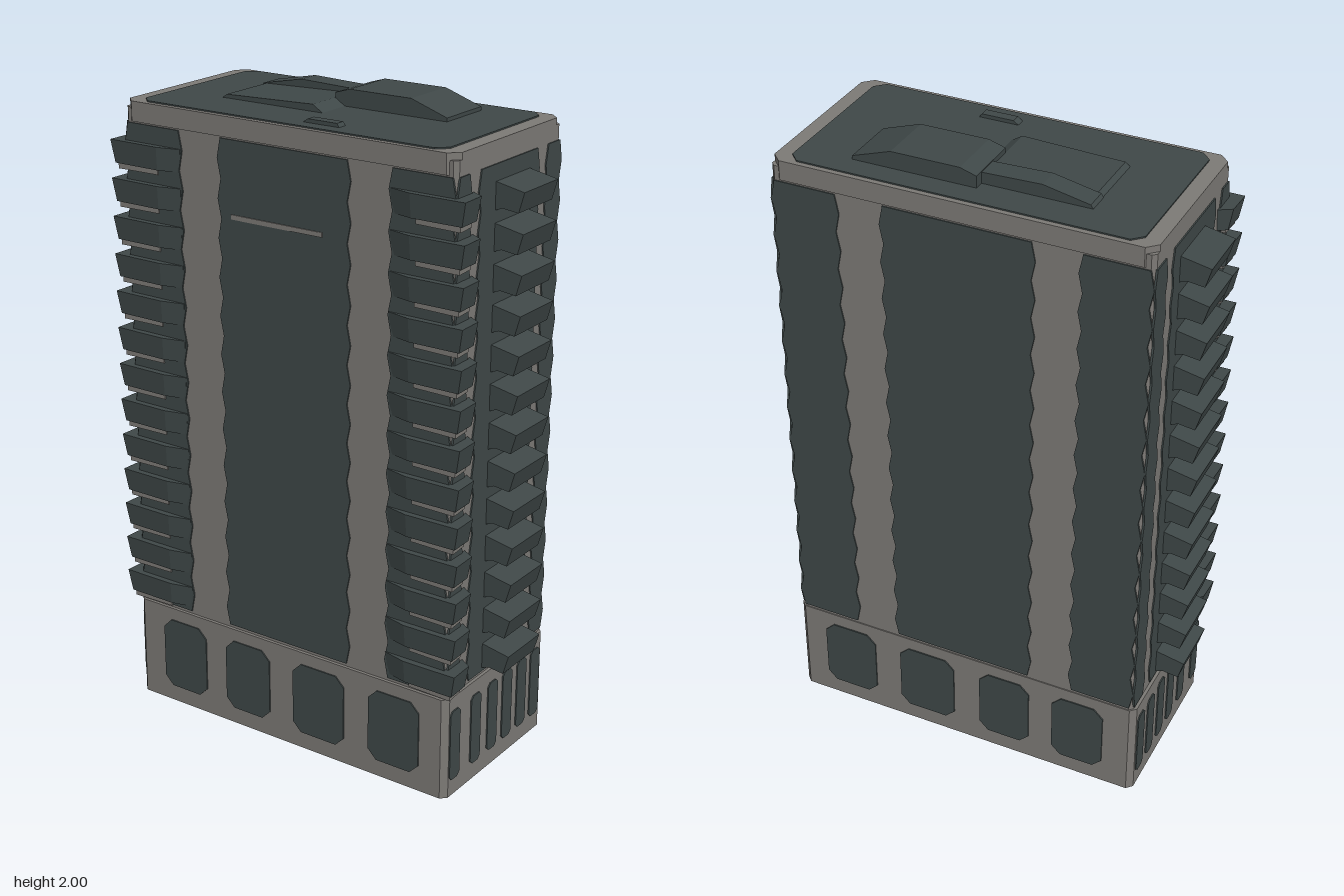
import * as THREE from 'three';

const concrete = new THREE.MeshStandardMaterial({ color: 0x7d7a76 });
concrete.name = 'concrete';
const glass = new THREE.MeshStandardMaterial({ color: 0x3f4848 });
glass.name = 'darkGlass';

const FLOORS = 13, FLOOR_BASE = 0.39, STEP = 0.1167;
const HALF_X = 0.573, FRONT = 0.262, BACK = 0.285;

const shapeOf = pts => new THREE.Shape(pts.map(p => new THREE.Vector2(p[0], p[1])));

function add(parent, name, geometry, material) {
  const mesh = new THREE.Mesh(geometry, material);
  mesh.name = name;
  parent.add(mesh);
  return mesh;
}

const extrude = (shape, depth) =>
  new THREE.ExtrudeGeometry(shape, { depth, bevelEnabled: false });

// Plan outline with cut corners; shape y is -z so it can be raised upright
function plan(hx, front, back, c) {
  return [[-hx + c, -front], [hx - c, -front], [hx, -front + c], [hx, back - c],
    [hx - c, back], [-hx + c, back], [-hx, back - c], [-hx, -front + c]];
}

// Raise a plan shape from y0 to y1
function raise(shape, y0, y1) {
  return extrude(shape, y1 - y0).rotateX(-Math.PI / 2).translate(0, y0, 0);
}

// Tall glazing with edges that step in and out at every floor
function glazing(u0, u1, y0, y1) {
  const right = [], left = [], n = FLOORS * 2;
  for (let i = 0; i <= n; i++) {
    const y = y0 + (y1 - y0) * i / n, d = i % 2 ? 0 : 0.012;
    right.push([u1 - d, y]);
    left.unshift([u0 + d, y]);
  }
  return shapeOf([...right, ...left]);
}

// Small window with cut corners
function pane(u0, u1, y0, y1, c) {
  return shapeOf([[u0 + c, y0], [u1 - c, y0], [u1, y0 + c], [u1, y1 - c],
    [u1 - c, y1], [u0 + c, y1], [u0, y1 - c], [u0, y0 + c]]);
}

// Thin plate on a wall: angle turns it to the wall, dist is the wall's distance
function plate(parent, name, shape, angle, dist, material = glass) {
  const mesh = add(parent, name, extrude(shape, 0.006).translate(0, 0, dist - 0.002), material);
  mesh.rotation.y = angle;
}

// Pull the lower edge of a raised block in towards a point
function taperBottom(geometry, yMid, cx, cz, k) {
  const p = geometry.attributes.position;
  for (let i = 0; i < p.count; i++) {
    if (p.getY(i) > yMid) continue;
    p.setX(i, cx + (p.getX(i) - cx) * k);
    p.setZ(i, cz + (p.getZ(i) - cz) * k);
  }
  geometry.computeVertexNormals();
  return geometry;
}

function buildBase() {
  const g = new THREE.Group();
  g.name = 'base';
  const outer = shapeOf(plan(0.583, 0.272, 0.288, 0.018));
  outer.holes.push(new THREE.Path(plan(0.563, 0.252, 0.268, 0.012).map(p => new THREE.Vector2(...p))));
  add(g, 'baseWalls', raise(outer, 0, 0.33), concrete);

  // Wide windows at front and back, seen from outside and inside
  for (const [a, b] of [[-0.48, -0.31], [-0.23, -0.06], [0.03, 0.22], [0.31, 0.49]]) {
    const s = pane(a, b, 0.055, 0.29, 0.03), m = pane(-b, -a, 0.055, 0.29, 0.03);
    plate(g, 'baseWindow', s, 0, 0.272);
    plate(g, 'baseWindow', m, Math.PI, 0.288);
    plate(g, 'baseWindowInside', m, Math.PI, -0.252);
    plate(g, 'baseWindowInside', s, 0, -0.268);
  }
  // Narrow windows along the two ends
  for (const z of [0.225, 0.11, 0.015, -0.07, -0.155, -0.235]) {
    for (const s of [1, -1]) {
      const u = -s * z;
      plate(g, 'baseSlot', pane(u - 0.027, u + 0.027, 0.055, 0.285, 0.012), s * Math.PI / 2, 0.583);
      plate(g, 'baseSlotInside', pane(-u - 0.027, -u + 0.027, 0.055, 0.285, 0.012), -s * Math.PI / 2, -0.563);
    }
  }
  return g;
}

function buildTower() {
  const g = new THREE.Group();
  g.name = 'tower';
  add(g, 'towerBody', raise(shapeOf(plan(HALF_X, FRONT, BACK, 0.012)), 0.32, 1.925), concrete);
  // Roof edge, drawn in slightly at the top
  const rim = raise(shapeOf(plan(HALF_X, FRONT + 0.006, BACK + 0.003, 0.03)), 1.885, 1.945);
  add(g, 'roofEdge', rim, concrete);

  // Centre and corner glazing
  plate(g, 'frontGlazing', glazing(-0.23, 0.235, 0.34, 1.88), 0, FRONT);
  plate(g, 'backGlazing', glazing(-0.235, 0.235, 0.34, 1.88), Math.PI, BACK);
  plate(g, 'frontLedge', shapeOf([[-0.18, 1.648], [0.14, 1.648], [0.14, 1.662], [-0.18, 1.662]]), 0, FRONT + 0.003, concrete);
  for (const s of [1, -1]) {
    const lo = Math.min(s * 0.36, s * 0.574), hi = Math.max(s * 0.36, s * 0.574);
    plate(g, 'frontCornerGlazing', glazing(lo, hi, 0.34, 1.88), 0, FRONT);
    plate(g, 'backCornerGlazing', glazing(lo, hi, 0.34, 1.88), Math.PI, BACK);
    for (const [a, b] of [[-0.288, -0.2], [-0.165, 0.155], [0.19, 0.262]]) {
      const u0 = Math.min(-s * a, -s * b), u1 = Math.max(-s * a, -s * b);
      plate(g, 'endGlazing', glazing(u0, u1, 0.34, 1.88), s * Math.PI / 2, HALF_X);
    }
  }
  return g;
}

function buildBalconies() {
  const g = new THREE.Group();
  g.name = 'balconies';
  for (let i = 0; i < FLOORS; i++) {
    const y = FLOOR_BASE + i * STEP;
    for (const s of [1, -1]) {
      // Balcony in the middle of each end
      const side = shapeOf([[0.56, 0.045], [0.667, 0.024], [0.65, -0.036], [0.6, -0.03], [0.56, -0.045]]
        .map(([x, h]) => [s * x, y + h]));
      add(g, 'endBalcony', extrude(side, 0.18).translate(0, 0, -0.11), glass);

      // Balcony wrapping the front corner, with a pale floor below it
      const corner = shapeOf([[0.365, -0.25], [0.365, -0.268], [0.44, -0.286], [0.615, -0.285],
        [0.612, -0.2], [0.57, -0.175], [0.5, -0.2]].map(([x, z]) => [s * x, z]));
      add(g, 'cornerBalcony', taperBottom(raise(corner, y - 0.035, y + 0.035), y, s * 0.46, 0.22, 0.92), glass);
      const floor = shapeOf([[0.45, -0.24], [0.45, -0.27], [0.595, -0.275], [0.59, -0.21], [0.5, -0.21]]
        .map(([x, z]) => [s * x, z]));
      add(g, 'balconyFloor', raise(floor, y - 0.052, y - 0.034), concrete);
    }
  }
  return g;
}

function buildRoof() {
  const g = new THREE.Group();
  g.name = 'roof';
  add(g, 'roofDeck', raise(shapeOf(plan(0.525, 0.252, 0.272, 0.03)), 1.942, 1.949), glass);
  // Plant housings as side profiles run along z
  const housing = (name, pts, z0, z1) =>
    add(g, name, extrude(shapeOf(pts), z1 - z0).translate(0, 0, z0), glass);
  housing('highHousing', [[-0.02, 1.945], [0.36, 1.945], [0.36, 1.96], [0.24, 2], [0.03, 2], [-0.02, 1.985]], -0.2, -0.02);
  housing('lowHousing', [[-0.35, 1.945], [0.02, 1.945], [-0.02, 1.97], [-0.33, 1.96]], -0.1, 0.09);
  housing('rampHousing', [[-0.35, 1.945], [0, 1.945], [0, 1.982], [-0.2, 1.988], [-0.34, 1.96]], -0.17, -0.1);
  housing('roofVent', [[0.03, 1.945], [0.16, 1.945], [0.15, 1.96], [0.05, 1.96]], 0.18, 0.21);
  return g;
}

export function createModel() {
  const model = new THREE.Group();
  model.name = 'towerBlock';
  model.add(buildBase(), buildTower(), buildBalconies(), buildRoof());
  return model;
}
